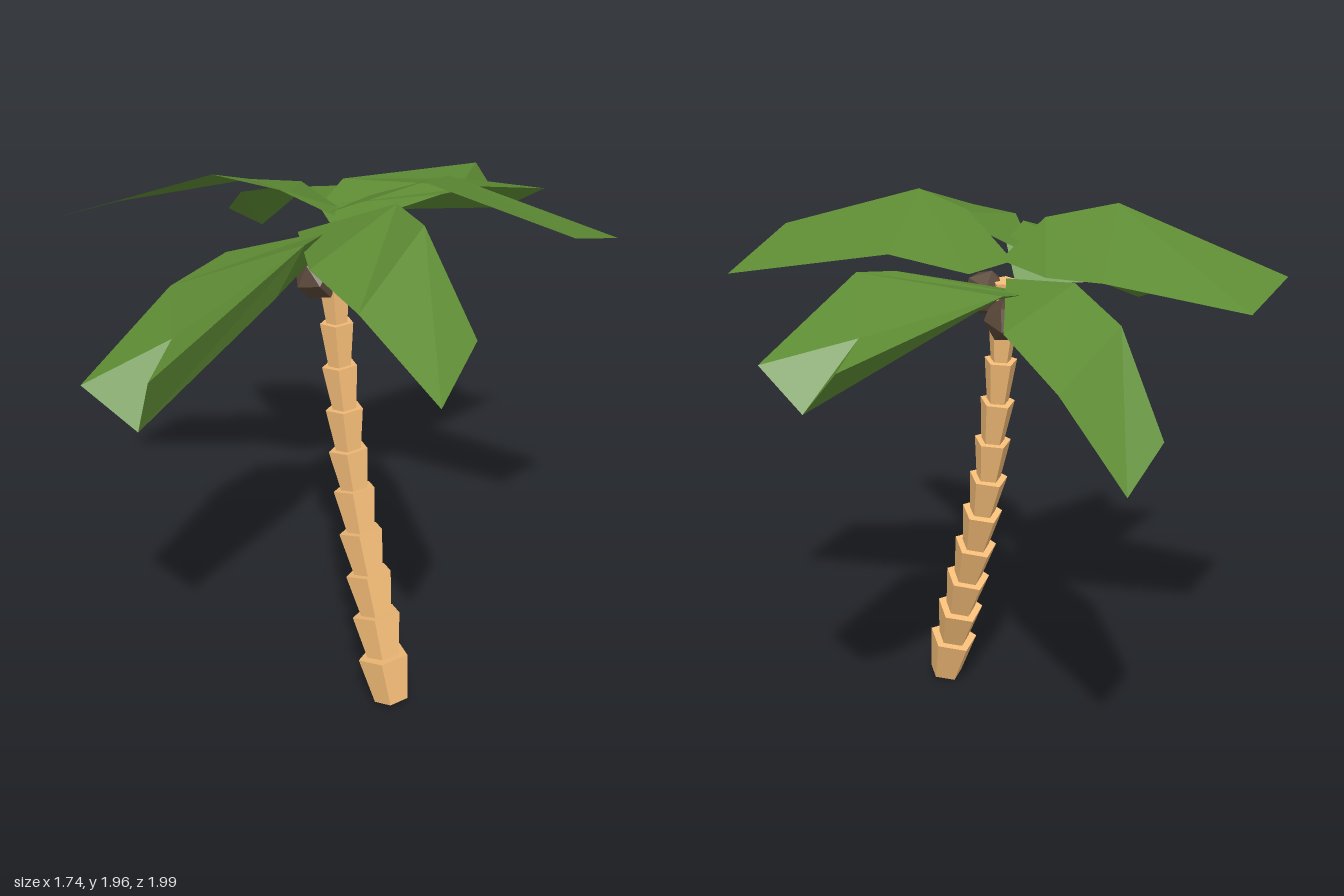
import * as THREE from 'three';

const bark = new THREE.MeshStandardMaterial({ color: 0xf5bd78, flatShading: true });
const leaf = new THREE.MeshStandardMaterial({ color: 0x5e8c34, flatShading: true, side: THREE.DoubleSide });
const shell = new THREE.MeshStandardMaterial({ color: 0x5a4839, flatShading: true });

// Centres of the trunk rings, from the ground to the crown
const rings = [
  [0.36, 0.022, 0.195], [0.315, 0.19, 0.175], [0.27, 0.34, 0.145], [0.225, 0.49, 0.12],
  [0.18, 0.64, 0.095], [0.14, 0.79, 0.07], [0.108, 0.935, 0.055], [0.085, 1.085, 0.042],
  [0.06, 1.24, 0.03], [0.043, 1.395, 0.02], [0.03, 1.55, 0.015], [0.02, 1.68, 0.01],
].map((p) => new THREE.Vector3(...p));

// One five-sided trunk segment, flaring towards its top
function trunkSegment(from, to, i) {
  const axis = to.clone().sub(from);
  const top = 0.093 - i * 0.0042;
  const geometry = new THREE.CylinderGeometry(top, top * 0.68, axis.length(), 5);
  geometry.rotateY(THREE.MathUtils.degToRad(95));
  const mesh = new THREE.Mesh(geometry, bark);
  mesh.position.copy(from).add(to).multiplyScalar(0.5);
  mesh.quaternion.setFromUnitVectors(new THREE.Vector3(0, 1, 0), axis.normalize());
  mesh.name = 'trunkSegment';
  return mesh;
}

// Root of each frond, then its two edges at the base, the bend and the tip.
// A keel turns the blade into a hollow three-sided body: bend, low tip, notch of the top face.
const fronds = [
  { name: 'leftFrond', root: [-0.02, 1.76, -0.02],
    a: [[0.04, 1.76, -0.24], [0.27, 1.83, -0.36], [0.87, 1.71, -0.38]],
    b: [[0.2, 1.89, 0.1], [0.36, 1.96, 0.05], [0.83, 1.82, -0.06]] },
  { name: 'frontLeftFrond', root: [-0.05, 1.74, 0.12],
    a: [[0.28, 1.88, 0.07], [0.46, 1.91, 0.26], [0.79, 1.76, 0.62]],
    b: [[0.19, 1.8, 0.49], [0.44, 1.78, 0.66], [0.77, 1.63, 0.81]] },
  { name: 'frontFrond', root: [0, 1.66, 0.05],
    a: [[0.08, 1.78, 0.15], [0.1, 1.81, 0.35], [-0.07, 1.59, 0.99]],
    b: [[-0.27, 1.66, 0.21], [-0.35, 1.61, 0.43], [-0.35, 1.49, 0.94]],
    keel: [[0.04, 1.65, 0.43], [-0.13, 1.4, 0.97], [-0.14, 1.61, 0.75]] },
  { name: 'rightFrond', root: [0.01, 1.77, -0.06],
    a: [[-0.07, 1.88, 0.14], [-0.3, 1.93, 0.23], [-0.87, 1.71, 0.33]],
    b: [[-0.22, 1.77, -0.22], [-0.4, 1.76, -0.18], [-0.84, 1.66, 0]] },
  { name: 'backRightFrond', root: [-0.03, 1.72, -0.1],
    a: [[-0.3, 1.75, -0.17], [-0.5, 1.66, -0.28], [-0.76, 1.43, -0.62]],
    b: [[-0.2, 1.66, -0.51], [-0.45, 1.55, -0.68], [-0.71, 1.31, -0.79]] },
  { name: 'backFrond', root: [-0.02, 1.68, -0.08],
    a: [[-0.14, 1.7, -0.2], [-0.14, 1.74, -0.38], [0.11, 1.64, -1]],
    b: [[0.26, 1.77, -0.33], [0.35, 1.78, -0.43], [0.41, 1.61, -0.94]],
    keel: [[0.1, 1.67, -0.38], [0.24, 1.49, -0.98], [0.17, 1.67, -0.75]] },
];

// A faceted blade spanning its two edges
function frond({ name, root, a, b, keel }) {
  const triangles = [[root, b[0], a[0]]];
  const quad = (p, q, r, s) => triangles.push([p, q, r], [p, r, s]);
  quad(a[0], b[0], b[1], a[1]);
  if (keel) {
    const [bend, low, notch] = keel;
    // Top face with its notched tip
    triangles.push([a[1], b[1], notch], [b[1], b[2], notch], [notch, b[2], low],
      [notch, low, a[2]], [a[1], notch, a[2]]);
    // Sloping flanks down to the keel
    [a, b].forEach((edge) => {
      triangles.push([root, edge[0], bend], [edge[0], edge[1], bend]);
      quad(edge[1], edge[2], low, bend);
    });
  } else {
    quad(a[1], b[1], b[2], a[2]);
  }
  const geometry = new THREE.BufferGeometry();
  geometry.setAttribute('position', new THREE.Float32BufferAttribute(triangles.flat(2), 3));
  geometry.computeVertexNormals();
  const mesh = new THREE.Mesh(geometry, leaf);
  mesh.name = name;
  return mesh;
}

export function createModel() {
  const palm = new THREE.Group();
  palm.name = 'palmTree';

  const trunk = new THREE.Group();
  trunk.name = 'trunk';
  for (let i = 0; i < rings.length - 1; i++) trunk.add(trunkSegment(rings[i], rings[i + 1], i));

  const crown = new THREE.Group();
  crown.name = 'crown';
  fronds.forEach((f) => crown.add(frond(f)));

  // Chunky coconuts hanging under the crown
  const coconuts = new THREE.Group();
  coconuts.name = 'coconuts';
  [[0.09, 1.635, 0], [-0.01, 1.565, 0.06], [-0.01, 1.565, -0.05]].forEach((p, i) => {
    const nut = new THREE.Mesh(new THREE.SphereGeometry(0.082, 5, 3), shell);
    nut.position.set(...p);
    nut.rotation.set(i * 0.5, i * 1.1, 0.3);
    nut.name = 'coconut';
    coconuts.add(nut);
  });

  palm.add(trunk, crown, coconuts);
  return palm;
}
